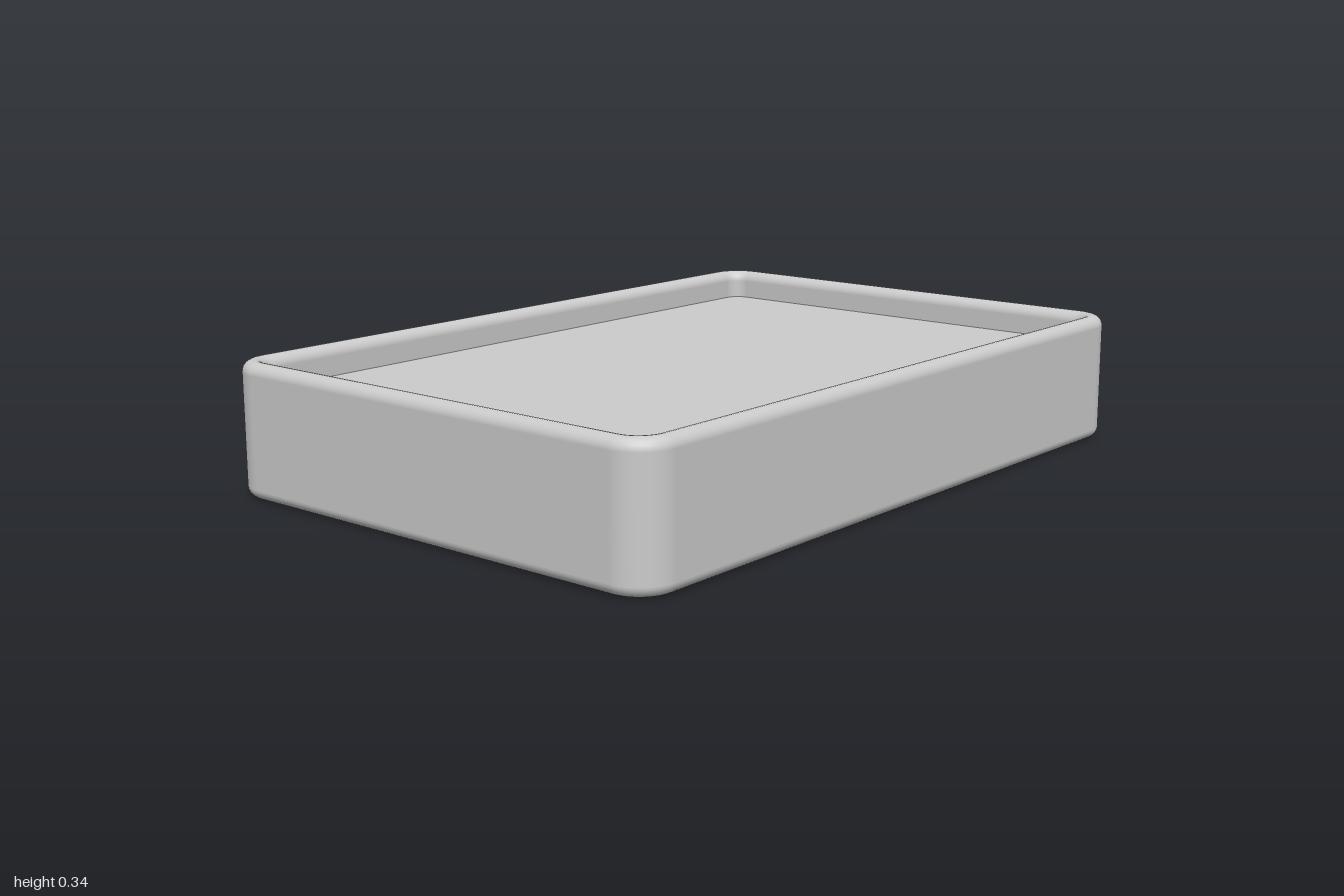
import * as THREE from 'three';

const HALF_X = 0.685, HALF_Z = 1, HEIGHT = 0.345;
const CORNER = 0.1, LIP = 0.029;          // plan corner radius, lip rounding radius
const FLOOR_Y = 0.265, BASE_Y = 0.028;    // tray floor and recessed underside
const ARC = 12;

// Rounded-rectangle outline: corner centres with outward directions
function outline() {
  const ring = [];
  [[1, 1], [-1, 1], [-1, -1], [1, -1]].forEach(([sx, sz], q) => {
    for (let k = 0; k <= ARC; k++) {
      const a = (q + k / ARC) * Math.PI / 2;
      ring.push({ x: sx * (HALF_X - CORNER), z: sz * (HALF_Z - CORNER), dx: Math.cos(a), dz: Math.sin(a) });
    }
  });
  return ring;
}

// Wall cross-section: inset from the outside, height, and normal (outward, up)
function wallProfile() {
  const pts = [{ inset: 2 * LIP, y: FLOOR_Y, n: -1, ny: 0 }];
  const halfTurn = (cy, from) => {
    for (let k = 0; k <= ARC; k++) {
      const a = from - Math.PI * k / ARC;
      const n = Math.cos(a), ny = Math.sin(a);
      pts.push({ inset: LIP - LIP * n, y: cy + LIP * ny, n, ny });
    }
  };
  halfTurn(HEIGHT - LIP, Math.PI);
  halfTurn(LIP, 0);
  return pts;
}

// Sweep the wall cross-section around the outline
function wallGeometry() {
  const ring = outline(), profile = wallProfile(), n = ring.length;
  const position = [], normal = [], index = [];
  profile.forEach((p, i) => {
    ring.forEach((c, j) => {
      const r = CORNER - p.inset;
      position.push(c.x + c.dx * r, p.y, c.z + c.dz * r);
      normal.push(c.dx * p.n, p.ny, c.dz * p.n);
      if (i === profile.length - 1) return;
      const a = i * n + j, b = i * n + (j + 1) % n;
      index.push(a, b, a + n, b, b + n, a + n);
    });
  });
  const g = new THREE.BufferGeometry();
  g.setAttribute('position', new THREE.Float32BufferAttribute(position, 3));
  g.setAttribute('normal', new THREE.Float32BufferAttribute(normal, 3));
  g.setIndex(index);
  return g;
}

// Flat panel filling the inside of the wall
function panelGeometry(y, up) {
  const r = CORNER - 2 * LIP;
  const shape = new THREE.Shape(outline().map(c => new THREE.Vector2(c.x + c.dx * r, c.z + c.dz * r)));
  return new THREE.ShapeGeometry(shape).rotateX(up ? -Math.PI / 2 : Math.PI / 2).translate(0, y, 0);
}

export function createModel() {
  const group = new THREE.Group();
  group.name = 'tray';
  const material = new THREE.MeshStandardMaterial({ color: 0xcccccc });
  const add = (name, geometry) => {
    const mesh = new THREE.Mesh(geometry, material);
    mesh.name = name;
    group.add(mesh);
  };
  add('wall', wallGeometry());
  add('floor', panelGeometry(FLOOR_Y, true));
  add('underside', panelGeometry(BASE_Y, false));
  return group;
}
